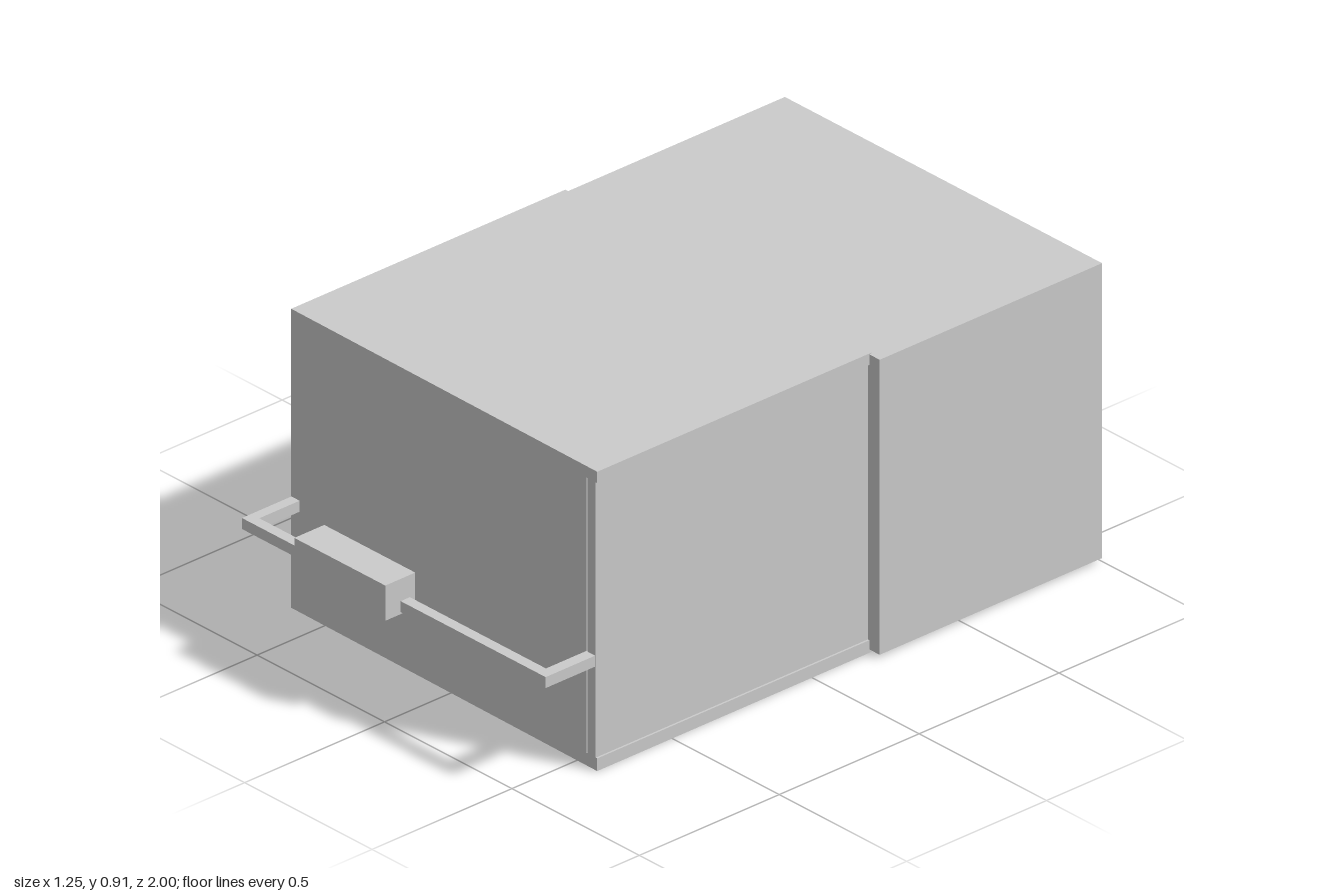
import * as THREE from 'three';

const material = new THREE.MeshStandardMaterial({ color: 0xcccccc, flatShading: true });

// Box given by its minimum and maximum corners
function block(name, [x0, y0, z0], [x1, y1, z1]) {
  const mesh = new THREE.Mesh(new THREE.BoxGeometry(x1 - x0, y1 - y0, z1 - z0), material);
  mesh.position.set((x0 + x1) / 2, (y0 + y1) / 2, (z0 + z1) / 2);
  mesh.name = name;
  return mesh;
}

export function createModel() {
  const model = new THREE.Group();
  model.name = 'drawerUnit';

  model.add(block('rearCase', [-0.625, 0.01, -1], [0.62, 0.897, -0.205]));

  // Front case: very slightly tilted profile, with a channel along its left side
  const profile = new THREE.Shape([
    [-0.621, 0.009], [0.58, 0], [0.58, 0.038], [0.537, 0.038],
    [0.537, 0.866], [0.58, 0.866], [0.58, 0.9], [-0.621, 0.908],
  ].map(([x, y]) => new THREE.Vector2(x, y)));
  const caseGeometry = new THREE.ExtrudeGeometry(profile, { depth: 0.98, bevelEnabled: false });
  const frontCase = new THREE.Mesh(caseGeometry, material);
  frontCase.position.z = -0.212;
  frontCase.name = 'frontCase';
  model.add(frontCase);

  // Side panel set into the channel, leaving a thin slit
  model.add(block('sidePanel', [0.541, 0.038, -0.212], [0.574, 0.866, 0.768]));

  // Handle: two arms, a crossbar and a thicker grip
  const handle = new THREE.Group();
  handle.name = 'handle';
  handle.add(
    block('rightArm', [-0.62, 0.311, 0.76], [-0.588, 0.344, 0.945]),
    block('leftArm', [0.537, 0.311, 0.76], [0.572, 0.344, 0.945]),
    block('crossbar', [-0.588, 0.311, 0.912], [0.537, 0.344, 0.945]),
    block('grip', [-0.354, 0.305, 0.893], [0.003, 0.411, 1]),
  );
  model.add(handle);
  return model;
}
